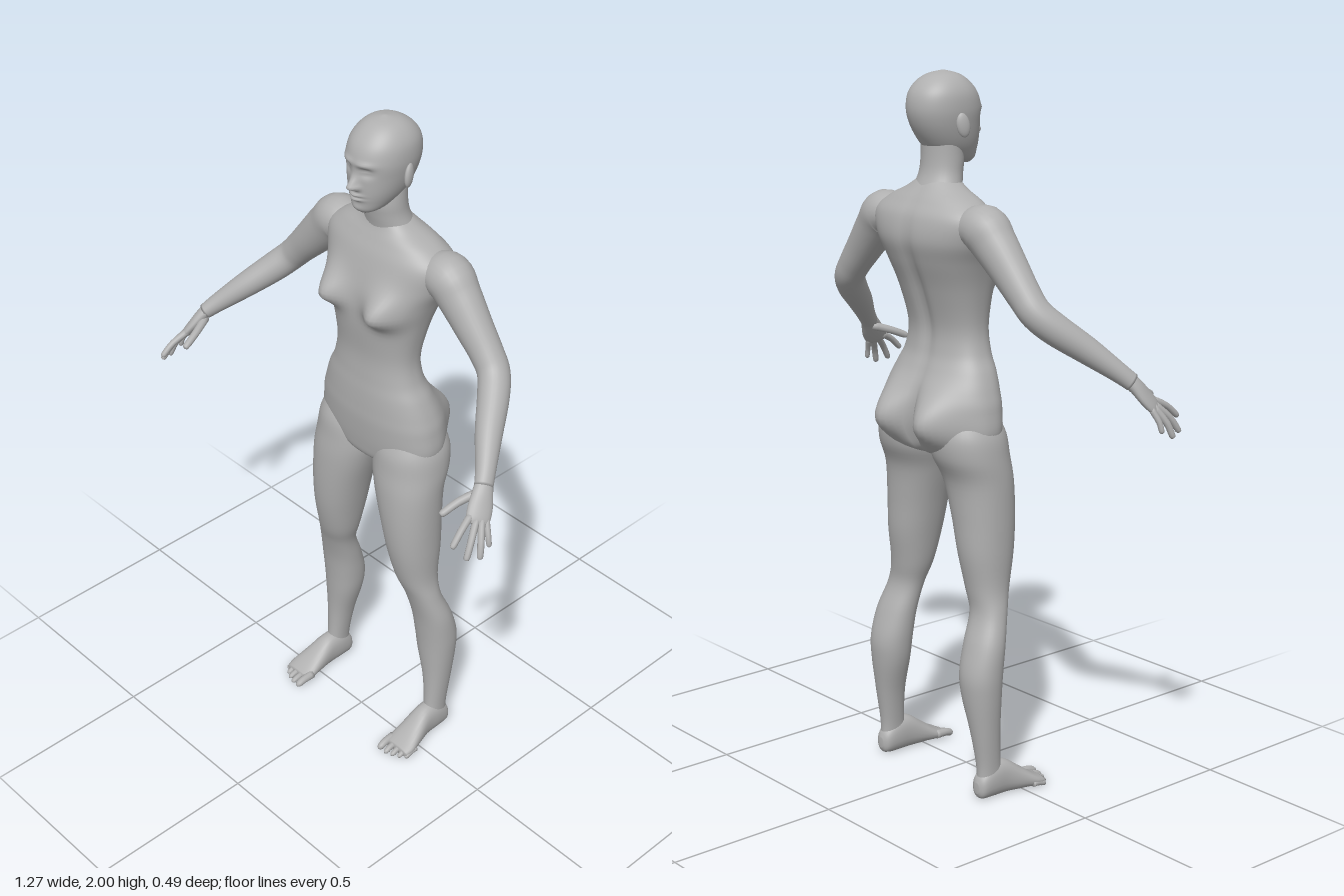
import * as THREE from 'three';

const V = (x, y, z) => new THREE.Vector3(x, y, z);
const bell = (d, s) => Math.exp(-(d / s) * (d / s));
const skin = new THREE.MeshStandardMaterial({ color: 0xb0b0b0 });
skin.name = 'clay grey';

// Catmull-Rom blend of one column of the section rows
function blend(rows, i, t, k) {
  const at = (j) => rows[Math.min(Math.max(j, 0), rows.length - 1)][k];
  const a = at(i - 1), b = at(i), c = at(i + 1), d = at(i + 2);
  return b + 0.5 * t * (c - a + t * (2 * a - 5 * b + 4 * c - d + t * (3 * (b - c) + d - a)));
}

// Closed skin over rows of [x, y, z, radius along side, radius across]
function loft(rows, { segs = 24, steps = 5, n = 2, side = V(1, 0, 0), axis = null, bump = null } = {}) {
  const rings = [];
  for (let i = 0; i < rows.length - 1; i++) {
    const last = i === rows.length - 2;
    for (let s = 0; s < steps + (last ? 1 : 0); s++) {
      rings.push([0, 1, 2, 3, 4].map((k) => blend(rows, i, s / steps, k)));
    }
  }
  const centres = rings.map((r) => V(r[0], r[1], r[2]));
  const pos = [], index = [];
  const power = (v) => Math.sign(v) * Math.pow(Math.abs(v), 2 / n);
  rings.forEach((r, i) => {
    const next = centres[Math.min(i + 1, rings.length - 1)], prev = centres[Math.max(i - 1, 0)];
    const t = axis || next.clone().sub(prev).normalize();
    const e1 = side.clone().addScaledVector(t, -t.dot(side)).normalize();
    const e2 = e1.clone().cross(t);
    for (let j = 0; j < segs; j++) {
      const a = (j / segs) * Math.PI * 2;
      const p = centres[i].clone()
        .addScaledVector(e1, Math.max(r[3], 0.001) * power(Math.cos(a)))
        .addScaledVector(e2, Math.max(r[4], 0.001) * power(Math.sin(a)));
      if (bump) bump(p, Math.sin(a));
      pos.push(p.x, p.y, p.z);
    }
  });
  const N = rings.length;
  for (let i = 0; i < N - 1; i++) {
    for (let j = 0; j < segs; j++) {
      const k = (j + 1) % segs, a = i * segs + j, b = i * segs + k;
      index.push(a, a + segs, b, b, a + segs, b + segs);
    }
  }
  // end caps
  const first = pos.length / 3;
  [centres[0], centres[N - 1]].forEach((c) => pos.push(c.x, c.y, c.z));
  for (let j = 0; j < segs; j++) {
    const k = (j + 1) % segs, top = (N - 1) * segs;
    index.push(first, j, k, first + 1, top + k, top + j);
  }
  const g = new THREE.BufferGeometry();
  g.setAttribute('position', new THREE.Float32BufferAttribute(pos, 3));
  g.setIndex(index);
  g.computeVertexNormals();
  return g;
}

// Horizontal sections given as [y, xMin, xMax, zMin, zMax]
const stack = (rows, options) => loft(
  rows.map(([y, x0, x1, z0, z1]) => [(x0 + x1) / 2, y, (z0 + z1) / 2, (x1 - x0) / 2, (z1 - z0) / 2]),
  { axis: V(0, 1, 0), ...options });

// Rounded finger or toe through points
function digit(points, r) {
  const rows = points.map((p, i) => [...p, r * (1 - 0.1 * i), r * (1 - 0.1 * i)]);
  const [a, b] = points.slice(-2);
  const d = V(...b).sub(V(...a)).normalize().multiplyScalar(r * 0.7);
  rows.push([b[0] + d.x, b[1] + d.y, b[2] + d.z, r * 0.3, r * 0.3]);
  return loft(rows, { segs: 10, steps: 3, side: V(1, 0, -0.6) });
}

function mirrored(g) {
  const m = g.clone().scale(-1, 1, 1);
  const ix = m.index.array;
  for (let i = 0; i < ix.length; i += 3) [ix[i + 1], ix[i + 2]] = [ix[i + 2], ix[i + 1]];
  m.computeVertexNormals();
  return m;
}

export function createModel() {
  const model = new THREE.Group();
  model.name = 'standingFigure';
  const add = (name, g) => {
    const m = new THREE.Mesh(g, skin);
    m.name = name;
    model.add(m);
  };
  const pair = (name, g) => {
    add('left' + name, g);
    add('right' + name, mirrored(g));
  };

  // Torso, with chest, seat and spine shaped by smooth bumps
  const torso = [
    [0.955, 0.03, -0.12, -0.04], [0.975, 0.13, -0.165, 0.0], [1.02, 0.205, -0.18, 0.012],
    [1.1, 0.205, -0.185, 0.02], [1.15, 0.192, -0.178, 0.02], [1.2, 0.172, -0.16, 0.018],
    [1.25, 0.147, -0.145, 0.014], [1.32, 0.136, -0.143, 0.012], [1.42, 0.152, -0.172, 0.022],
    [1.5, 0.175, -0.203, 0.02], [1.56, 0.2, -0.22, 0.008], [1.62, 0.21, -0.212, -0.01],
    [1.66, 0.165, -0.188, -0.028], [1.69, 0.1, -0.165, -0.042], [1.715, 0.06, -0.145, -0.05],
  ].map(([y, w, z0, z1]) => [y, -w, w, z0, z1]);
  add('torso', stack(torso, {
    segs: 80, steps: 6, n: 2.3,
    bump: (p, s) => {
      const x = Math.abs(p.x), y = p.y;
      if (s > 0) {
        p.z += 0.056 * bell(x - 0.097, 0.05) * bell(y - 1.48, y < 1.48 ? 0.037 : 0.062) * Math.min(1, s * 2);
      } else {
        const w = Math.min(1, -s * 2);
        p.z -= 0.072 * bell(x - 0.088, 0.065) * bell(y - 1.06, y < 1.06 ? 0.07 : 0.085) * w;
        p.z += 0.014 * bell(x, 0.022) * bell(y - 1.4, 0.2) * w;
        p.z += 0.02 * bell(x, 0.014) * bell(y - 1.05, 0.08) * w;
      }
    },
  }));

  // Neck
  add('neck', stack([
    [1.64, -0.09, 0.09, -0.18, -0.05], [1.69, -0.077, 0.077, -0.16, -0.043],
    [1.73, -0.066, 0.066, -0.145, -0.035], [1.77, -0.063, 0.063, -0.14, -0.03],
    [1.83, -0.06, 0.06, -0.14, -0.04],
  ], { segs: 32 }));

  // Head, with brow, sockets, nose, lips and chin
  const head = [
    [1.752, 0.018, -0.03, 0.003], [1.765, 0.04, -0.075, 0.015], [1.79, 0.058, -0.125, 0.02],
    [1.82, 0.071, -0.153, 0.023], [1.86, 0.081, -0.176, 0.024], [1.9, 0.086, -0.186, 0.026],
    [1.94, 0.082, -0.18, 0.014], [1.97, 0.066, -0.158, -0.01], [1.99, 0.041, -0.126, -0.04],
    [2.0, 0.004, -0.086, -0.078],
  ].map(([y, w, z0, z1]) => [y, -w, w, z0, z1]);
  add('head', stack(head, {
    segs: 96, steps: 9, n: 2.15,
    bump: (p, s) => {
      if (s <= 0) return;
      const x = Math.abs(p.x), y = p.y;
      p.z += 0.026 * bell(x, 0.012) * bell(y - 1.836, y < 1.836 ? 0.009 : 0.024);
      p.z += 0.009 * bell(x - 0.012, 0.008) * bell(y - 1.834, 0.008);
      p.z -= 0.012 * bell(x - 0.033, 0.018) * bell(y - 1.881, 0.013);
      p.z += 0.005 * bell(x - 0.032, 0.014) * bell(y - 1.88, 0.005);
      p.z += 0.006 * bell(x - 0.03, 0.025) * bell(y - 1.902, 0.008);
      p.z += 0.01 * bell(x, 0.02) * (bell(y - 1.811, 0.005) + bell(y - 1.799, 0.005));
      p.z -= 0.004 * bell(x, 0.022) * bell(y - 1.805, 0.003);
      p.z += 0.004 * bell(x, 0.02) * bell(y - 1.77, 0.01);
    },
  }));

  // Ears
  const ear = new THREE.SphereGeometry(1, 16, 12);
  ear.scale(0.01, 0.033, 0.019).rotateX(-0.2).rotateY(0.35).translate(0.087, 1.86, -0.085);
  pair('Ear', ear);

  // Legs
  pair('Leg', stack([
    [0.04, 0.19, 0.242, -0.14, -0.055], [0.1, 0.187, 0.243, -0.14, -0.065],
    [0.2, 0.172, 0.25, -0.155, -0.068], [0.3, 0.145, 0.258, -0.17, -0.063],
    [0.37, 0.135, 0.261, -0.172, -0.058], [0.45, 0.13, 0.257, -0.15, -0.048],
    [0.53, 0.123, 0.238, -0.12, -0.028], [0.6, 0.102, 0.224, -0.124, -0.004],
    [0.7, 0.08, 0.225, -0.14, 0.018], [0.8, 0.056, 0.226, -0.146, 0.027],
    [0.9, 0.026, 0.226, -0.156, 0.027], [0.97, 0.006, 0.223, -0.185, 0.02],
    [1.03, 0.012, 0.214, -0.19, 0.012], [1.08, 0.04, 0.19, -0.17, -0.01],
  ], { segs: 36, n: 2.15 }));

  // Feet, flattened at the sole
  pair('Foot', loft([
    [0.215, 0.035, -0.147, 0.01, 0.015], [0.215, 0.038, -0.135, 0.026, 0.035],
    [0.215, 0.05, -0.1, 0.032, 0.05], [0.216, 0.05, -0.05, 0.034, 0.05],
    [0.22, 0.034, 0.0, 0.042, 0.034], [0.223, 0.021, 0.04, 0.048, 0.02],
    [0.222, 0.015, 0.068, 0.045, 0.012],
  ], { axis: V(0, 0, 1), n: 2.3, bump: (p) => { p.y = Math.max(p.y, 0.004); } }));
  const toes = [[0.184, 0.094, 0.013], [0.208, 0.094, 0.01], [0.229, 0.087, 0.0095], [0.248, 0.077, 0.009], [0.264, 0.063, 0.009]];
  toes.forEach(([x, z, r], i) => pair('Toe' + (i + 1), digit([
    [x, r + 0.007, 0.04 - i * 0.004], [x, r + 0.006, z - 0.02], [x + 0.001, r, z],
  ], r)));

  // Arms
  pair('Arm', loft([
    [0.14, 1.595, -0.115, 0.055, 0.045], [0.205, 1.6, -0.115, 0.066, 0.066],
    [0.25, 1.56, -0.113, 0.058, 0.062], [0.31, 1.495, -0.11, 0.05, 0.053],
    [0.36, 1.44, -0.108, 0.045, 0.046], [0.395, 1.4, -0.1, 0.044, 0.043],
    [0.43, 1.36, -0.065, 0.043, 0.042], [0.48, 1.305, 0.0, 0.037, 0.036],
    [0.53, 1.25, 0.06, 0.028, 0.027], [0.555, 1.22, 0.092, 0.026, 0.022],
  ], { side: V(0, 0, 1), segs: 28 }));

  // Hands
  pair('Palm', loft([
    [0.545, 1.233, 0.078, 0.022, 0.019], [0.56, 1.21, 0.1, 0.028, 0.018],
    [0.574, 1.18, 0.122, 0.034, 0.016], [0.585, 1.157, 0.14, 0.033, 0.013],
    [0.59, 1.147, 0.148, 0.026, 0.008],
  ], { side: V(0.28, -0.15, -0.38), segs: 20 }));
  const fingers = {
    Thumb: [[0.548, 1.203, 0.1], [0.527, 1.187, 0.152], [0.516, 1.168, 0.198]],
    IndexFinger: [[0.57, 1.168, 0.152], [0.58, 1.146, 0.196], [0.585, 1.118, 0.228]],
    MiddleFinger: [[0.583, 1.16, 0.144], [0.604, 1.123, 0.182], [0.614, 1.085, 0.207]],
    RingFinger: [[0.592, 1.155, 0.135], [0.617, 1.112, 0.16], [0.627, 1.077, 0.172]],
    LittleFinger: [[0.597, 1.152, 0.122], [0.616, 1.118, 0.133], [0.623, 1.094, 0.136]],
  };
  for (const [name, points] of Object.entries(fingers)) {
    pair(name, digit(points, name === 'Thumb' ? 0.0125 : name === 'LittleFinger' ? 0.009 : 0.0105));
  }
  return model;
}
